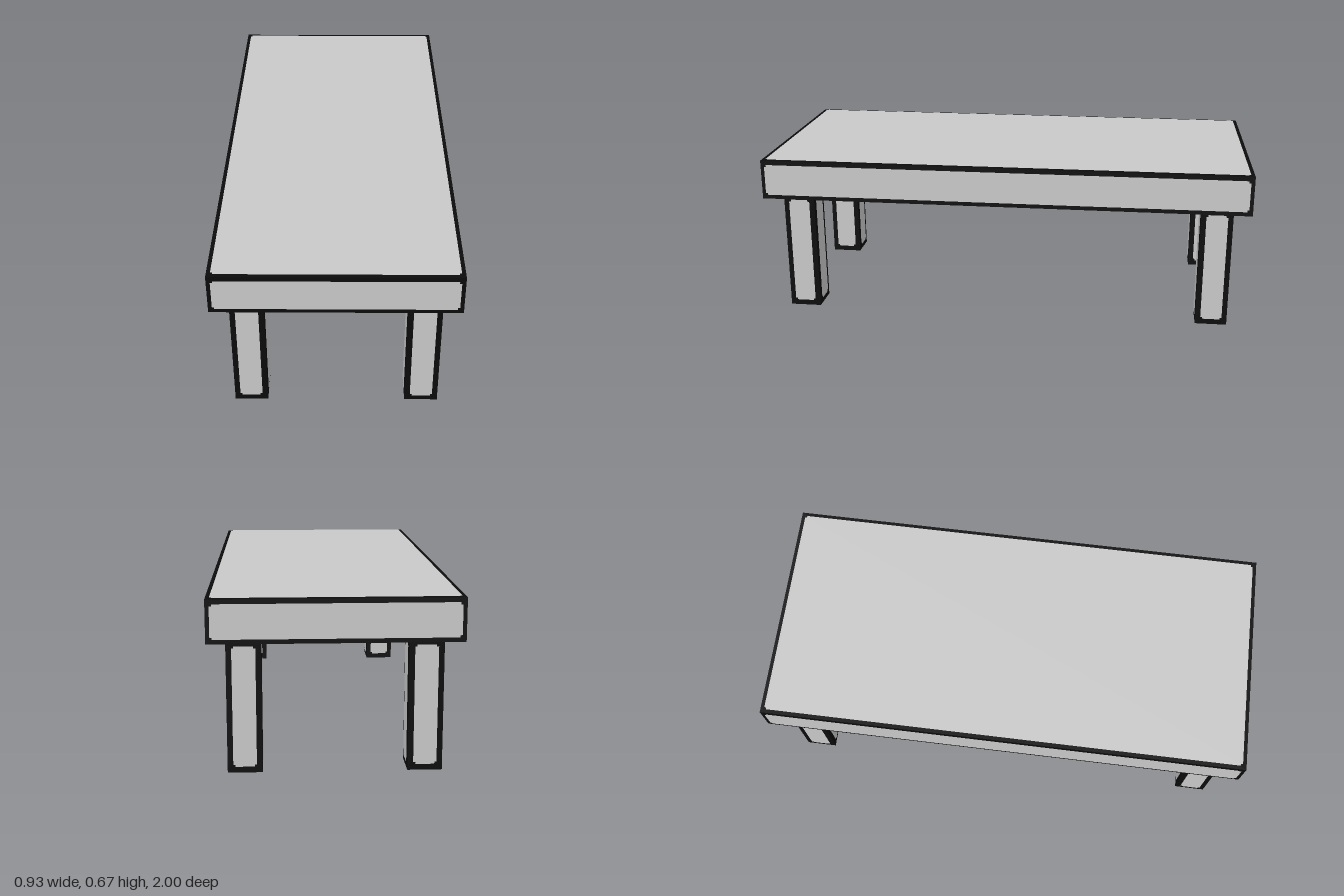
import * as THREE from 'three';

const grey = new THREE.MeshStandardMaterial({ color: 0xc9c9c9 });
grey.name = 'light grey';
const black = new THREE.MeshStandardMaterial({ color: 0x0b0b0b });
black.name = 'black';

const LIFT = 0.002; // how far the face panels stand proud of the black block

// Flat rectangle with a small square notch at each corner
function panelGeometry(w, h, notch) {
  const x = w / 2, y = h / 2, n = notch;
  const pts = [
    [x - n, -y], [x - n, -y + n], [x, -y + n], [x, y - n], [x - n, y - n], [x - n, y],
    [-x + n, y], [-x + n, y - n], [-x, y - n], [-x, -y + n], [-x + n, -y + n], [-x + n, -y],
  ];
  return new THREE.ShapeGeometry(new THREE.Shape(pts.map(([a, b]) => new THREE.Vector2(a, b))));
}

// Black block whose faces carry grey panels, leaving a dark border on every edge
function borderedBlock(name, w, h, d, border, faces) {
  const group = new THREE.Group();
  group.name = name;
  const core = new THREE.Mesh(
    new THREE.BoxGeometry(w - 2 * LIFT, h, d - 2 * LIFT), black);
  core.name = name + 'Border';
  group.add(core);

  const layout = {
    front: [w, h, [0, 0, d / 2], [0, 0, 0]],
    back: [w, h, [0, 0, -d / 2], [0, Math.PI, 0]],
    left: [d, h, [w / 2, 0, 0], [0, Math.PI / 2, 0]],
    right: [d, h, [-w / 2, 0, 0], [0, -Math.PI / 2, 0]],
    top: [w, d, [0, h / 2 + LIFT, 0], [-Math.PI / 2, 0, 0]],
    bottom: [w, d, [0, -h / 2 - LIFT, 0], [Math.PI / 2, 0, 0]],
  };
  for (const face of faces) {
    const [pw, ph, pos, rot] = layout[face];
    const panel = new THREE.Mesh(
      panelGeometry(pw - 2 * border, ph - 2 * border, 0.008), grey);
    panel.name = name + '_' + face + 'Panel';
    panel.position.set(...pos);
    panel.rotation.set(...rot);
    group.add(panel);
  }
  return group;
}

export function createModel() {
  const model = new THREE.Group();
  model.name = 'table';
  const sides = ['front', 'back', 'left', 'right'];

  // Table top
  const top = borderedBlock('tableTop', 0.932, 0.162, 2, 0.017, [...sides, 'top', 'bottom']);
  top.position.y = 0.583;
  model.add(top);

  // Four legs, with plain black feet
  for (const sx of [1, -1]) {
    for (const sz of [1, -1]) {
      const name = (sz > 0 ? 'front' : 'back') + (sx > 0 ? 'Left' : 'Right') + 'Leg';
      const leg = borderedBlock(name, 0.133, 0.502, 0.133, 0.023, sides);
      leg.position.set(sx * 0.333, 0.251, sz * 0.867);
      model.add(leg);
    }
  }
  return model;
}
